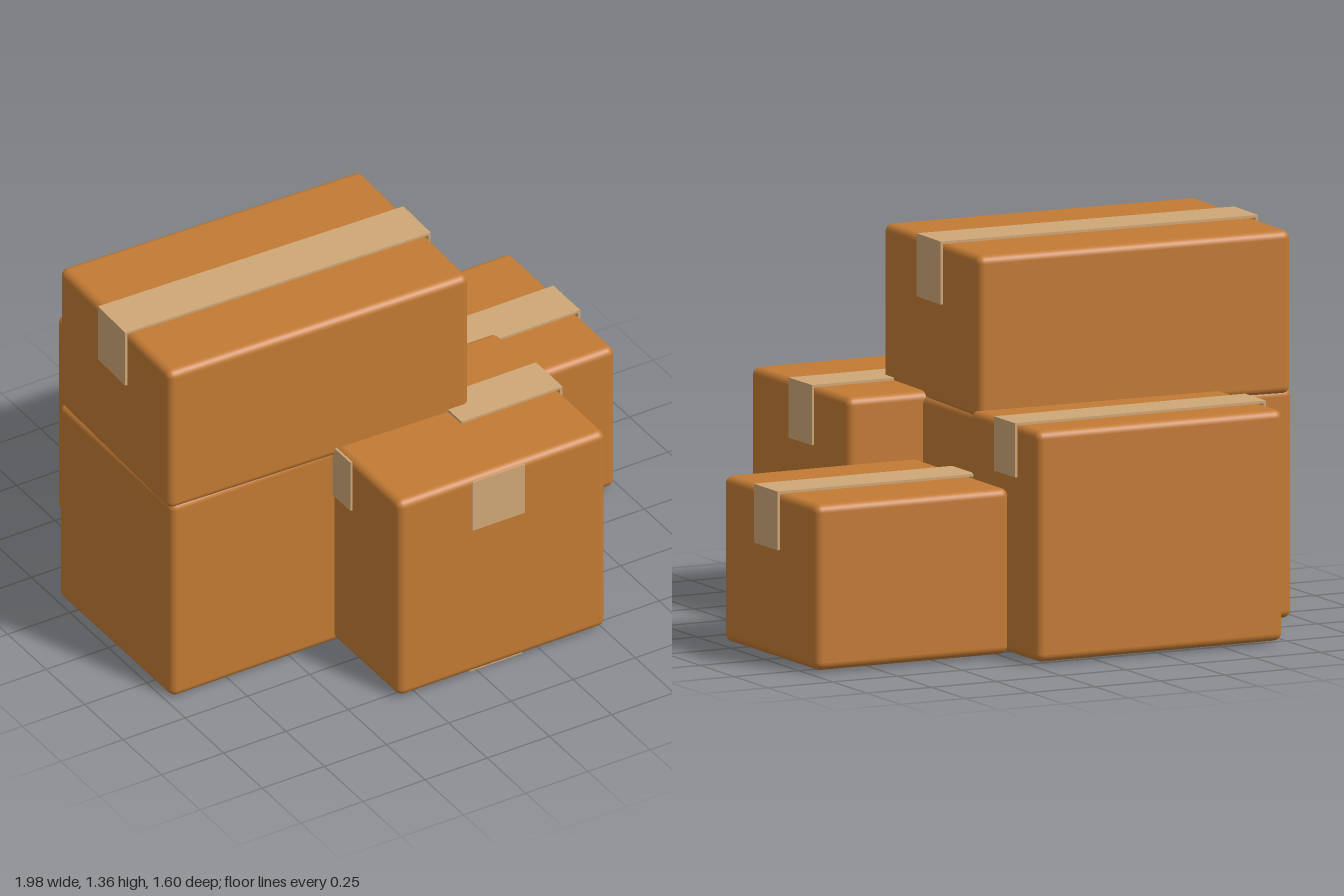
import * as THREE from 'three';
import { RoundedBoxGeometry } from 'three/addons/geometries/RoundedBoxGeometry.js';

export function createModel() {
  const cardboard = new THREE.MeshStandardMaterial({ color: 0xc27a34 });
  cardboard.name = 'cardboard';
  const packingTape = new THREE.MeshStandardMaterial({ color: 0xcfa777 });
  packingTape.name = 'packing tape';

  const model = new THREE.Group();
  model.name = 'boxStack';
  const T = 0.009; // tape thickness

  // Thin plate spanning the given ranges
  function plate(parent, name, [x0, x1], [y0, y1], [z0, z1]) {
    const mesh = new THREE.Mesh(new THREE.BoxGeometry(x1 - x0, y1 - y0, z1 - z0), packingTape);
    mesh.position.set((x0 + x1) / 2, (y0 + y1) / 2, (z0 + z1) / 2);
    mesh.name = name;
    parent.add(mesh);
  }

  // Rounded carton, with an optional strip of tape along x that folds over both ends
  function carton({ name, x, y, z, turn = 0, tape }) {
    const group = new THREE.Group();
    group.name = name;
    const w = x[1] - x[0], h = y[1] - y[0], d = z[1] - z[0];
    const body = new THREE.Mesh(new RoundedBoxGeometry(w, h, d, 4, 0.028), cardboard);
    body.name = name + 'Body';
    body.position.y = h / 2;
    group.add(body);
    group.position.set((x[0] + x[1]) / 2, y[0], (z[0] + z[1]) / 2);
    group.rotation.y = turn;
    if (tape) {
      const strip = [tape.z - tape.width / 2, tape.z + tape.width / 2];
      const start = tape.start ?? -w / 2 - T;
      plate(group, name + 'TopTape', [start, w / 2 + T], [h, h + T], strip);
      for (const side of [-1, 1]) {
        const inner = side * w / 2, outer = side * (w / 2 + T);
        plate(group, name + (side > 0 ? 'LeftTapeEnd' : 'RightTapeEnd'),
          [Math.min(inner, outer), Math.max(inner, outer)], [h - tape.drop, h], strip);
      }
    }
    model.add(group);
    return group;
  }

  // Tall stack: two large cartons, the upper one slightly turned
  carton({ name: 'lowerCarton', x: [-0.98, 0.22], y: [0, 0.8], z: [-0.36, 0.38] });
  carton({
    name: 'upperCarton', x: [-0.98, 0.21], y: [0.78, 1.348], z: [-0.355, 0.395], turn: -0.028,
    tape: { z: 0, width: 0.185, drop: 0.21 },
  });

  // Cartons around the stack
  carton({
    name: 'backCarton', x: [-0.715, 0.235], y: [0.01, 0.812], z: [-0.8, -0.295],
    tape: { z: -0.025, width: 0.155, drop: 0.18 },
  });
  carton({
    name: 'smallCarton', x: [0.235, 0.982], y: [0.01, 0.585], z: [-0.595, 0.095],
    tape: { z: 0.012, width: 0.175, drop: 0.195 },
  });
  carton({
    name: 'frontCarton', x: [-0.325, 0.51], y: [0.01, 0.815], z: [0.075, 0.797],
    tape: { z: -0.026, width: 0.172, drop: 0.2, start: 0.02 },
  });

  // Loose tape pieces on the front carton's face and underside
  plate(model, 'frontTapePiece', [-0.03, 0.18], [0.6, 0.8], [0.794, 0.8]);
  plate(model, 'undersideTapePiece', [-0.03, 0.18], [0.005, 0.012], [0.53, 0.78]);

  return model;
}
